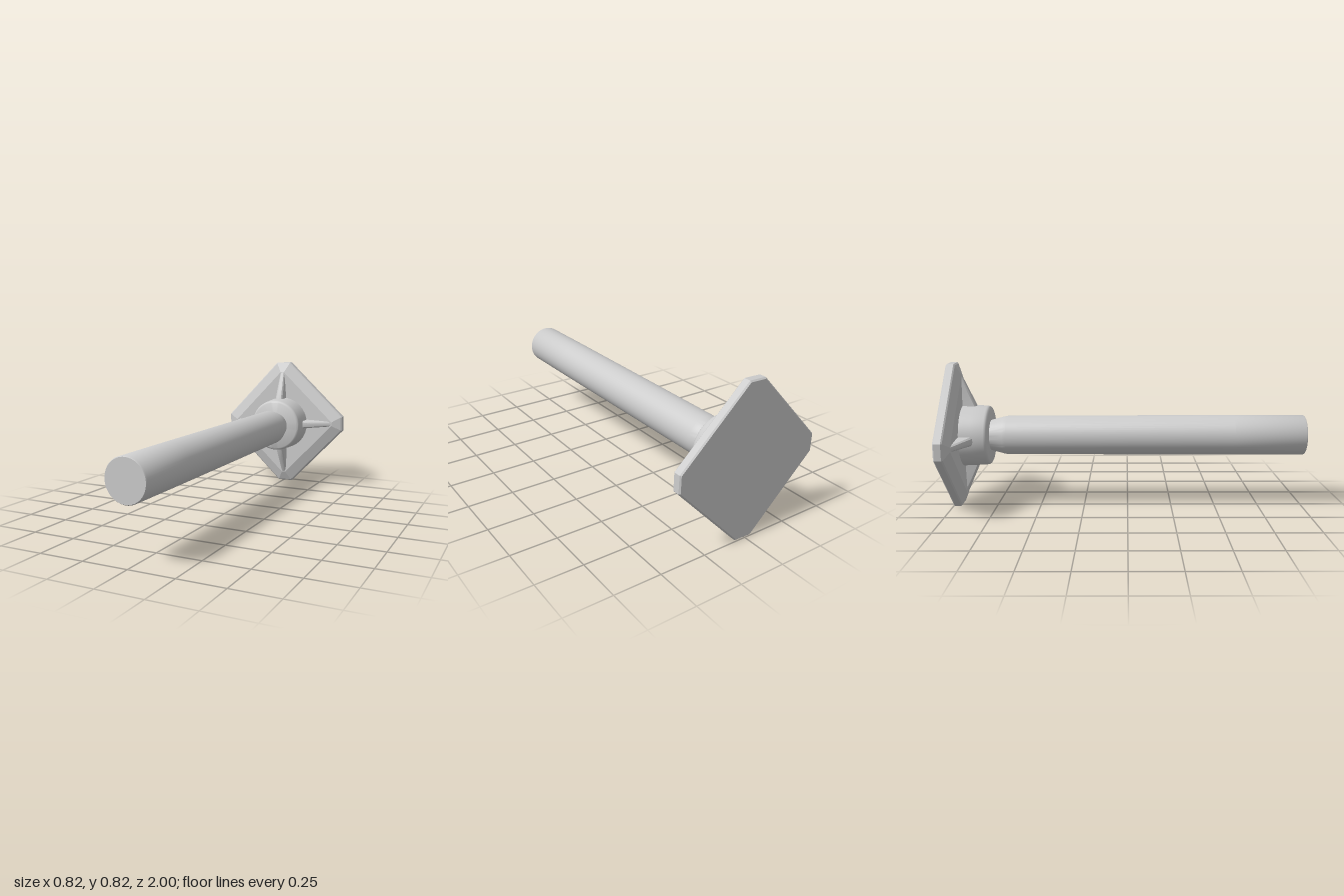
import * as THREE from 'three';
import { toCreasedNormals } from 'three/addons/utils/BufferGeometryUtils.js';

const CENTER_Y = 0.41;
const material = new THREE.MeshStandardMaterial({ color: 0xcccccc });

// Skin a stack of closed loops (counter-clockwise about the stacking axis) and cap both ends.
function loft(loops, crease) {
  const pos = [];
  const n = loops[0].length;
  const tri = (...pts) => pts.forEach(p => pos.push(...p));
  const middle = loop => [0, 1, 2].map(k => loop.reduce((s, p) => s + p[k], 0) / n);
  const first = loops[0], last = loops[loops.length - 1];
  const c0 = middle(first), c1 = middle(last);
  for (let j = 0; j < n; j++) {
    const k = (j + 1) % n;
    for (let i = 0; i < loops.length - 1; i++) {
      const [a, b] = [loops[i], loops[i + 1]];
      tri(a[j], a[k], b[k]);
      tri(a[j], b[k], b[j]);
    }
    tri(c0, first[k], first[j]);
    tri(c1, last[j], last[k]);
  }
  const geometry = new THREE.BufferGeometry();
  geometry.setAttribute('position', new THREE.Float32BufferAttribute(pos, 3));
  return toCreasedNormals(geometry, crease);
}

// Diamond with clipped corners: r is corner reach, w is half the clipped edge.
function diamond(r, w, z) {
  const loop = [];
  for (let q = 0; q < 4; q++) {
    const c = [1, 0, -1, 0][q], s = [0, 1, 0, -1][q];
    for (const t of [-w, w]) loop.push([c * r - s * t, s * r + c * t, z]);
  }
  return loop;
}

// Rib section at distance x from the axis: tapered sides and a rounded crest.
function ribSection(x, width, top) {
  const h = width / 2, base = -0.945;
  const crest = Math.min(0.012, (top - base) / 2);
  return [
    [x, -h, base], [x, h, base], [x, h * 0.9, top - crest], [x, h * 0.6, top - crest * 0.25],
    [x, 0, top], [x, -h * 0.6, top - crest * 0.25], [x, -h * 0.9, top - crest],
  ];
}

// Turned part around the z axis from [radius, z] points.
function turned(points) {
  const profile = points.map(([r, z]) => new THREE.Vector2(r, z));
  const geometry = new THREE.LatheGeometry(profile, 64);
  geometry.rotateX(Math.PI / 2);
  return toCreasedNormals(geometry, 0.6);
}

function addMesh(parent, name, geometry) {
  const mesh = new THREE.Mesh(geometry, material);
  mesh.name = name;
  parent.add(mesh);
  return mesh;
}

export function createModel() {
  const model = new THREE.Group();
  model.name = 'mountingPost';

  // Base plate and ribs sit turned slightly around the shaft axis
  const base = new THREE.Group();
  base.name = 'base';
  base.position.y = CENTER_Y;
  base.rotation.z = 0.03;
  model.add(base);

  // Plate with a thin back chamfer and a broad front bevel
  addMesh(base, 'basePlate', loft([
    diamond(0.402, 0.044, -1),
    diamond(0.409, 0.046, -0.993),
    diamond(0.409, 0.046, -0.957),
    diamond(0.402, 0.044, -0.95),
    diamond(0.345, 0.012, -0.924),
  ], 0.2));

  // Four sloping ribs from hub to plate corners
  const rib = loft([
    ribSection(0.13, 0.062, -0.838),
    ribSection(0.17, 0.054, -0.846),
    ribSection(0.25, 0.046, -0.882),
    ribSection(0.345, 0.034, -0.925),
  ], 0.6);
  for (let i = 0; i < 4; i++) {
    addMesh(base, 'rib' + (i + 1), rib).rotation.z = i * Math.PI / 2;
  }

  // Round hub with a softened front rim
  addMesh(model, 'hub', turned([
    [0, -0.94], [0.174, -0.94], [0.171, -0.86], [0.167, -0.79],
    [0.165, -0.782], [0.16, -0.776], [0.152, -0.772], [0, -0.772],
  ])).position.y = CENTER_Y;

  // Shaft with a tapered neck and a slightly eased free end
  addMesh(model, 'shaft', turned([
    [0, -0.8], [0.082, -0.8], [0.086, -0.772], [0.105, -0.7], [0.109, -0.68],
    [0.113, 0.6], [0.113, 0.994], [0.109, 1], [0, 1],
  ])).position.y = CENTER_Y;

  return model;
}
